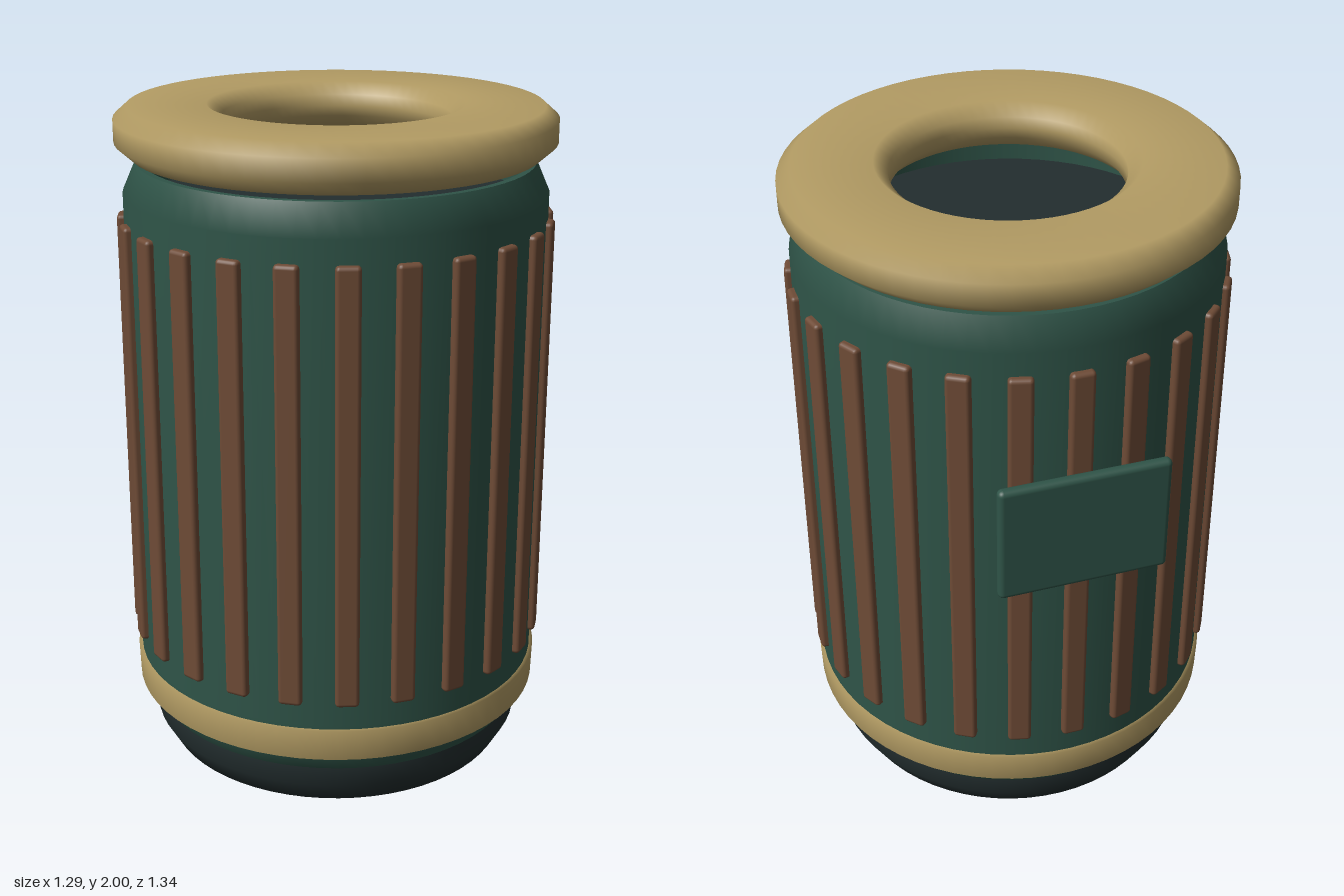
import * as THREE from 'three';
import { RoundedBoxGeometry } from 'three/addons/geometries/RoundedBoxGeometry.js';

const mat = (name, color) => {
  const m = new THREE.MeshStandardMaterial({ color });
  m.name = name;
  return m;
};

export function createModel() {
  const green = mat('green', 0x2f5448);
  const tan = mat('tan', 0xb39c64);
  const brown = mat('brown', 0x6e4b36);
  const dark = mat('dark', 0x232e2f);

  const model = new THREE.Group();
  model.name = 'litterBin';
  const bin = new THREE.Group();
  bin.name = 'bin';
  bin.position.z = 0.02;
  model.add(bin);

  const add = (name, geometry, material, parent = bin) => {
    const mesh = new THREE.Mesh(geometry, material);
    mesh.name = name;
    parent.add(mesh);
    return mesh;
  };
  // Turned part from [radius, height] pairs
  const turned = (name, points, material) =>
    add(name, new THREE.LatheGeometry(points.map(([r, y]) => new THREE.Vector2(r, y)), 64), material);

  // Base with chamfered foot
  turned('base', [[0, 0], [0.54, 0], [0.58, 0.07], [0.58, 0.13]], dark);

  // Barrel, with its inner lip and the recessed floor of the opening
  turned('body', [[0.58, 0.13], [0.622, 0.2], [0.625, 0.3], [0.625, 1.75], [0.585, 1.84]], green);
  turned('rim', [[0.585, 1.84], [0.565, 1.84]], green);
  turned('innerWall', [[0.565, 1.84], [0.565, 1.72]], green);
  turned('innerFloor', [[0.565, 1.72], [0, 1.72]], dark);

  // Lower band
  turned('lowerBand', [[0.615, 0.19], [0.633, 0.192], [0.636, 0.288], [0.615, 0.29]], tan);

  // Floating ring lid with softened edges
  turned('lidRing', [
    [0.335, 1.93], [0.335, 1.9], [0.375, 1.86], [0.6, 1.86], [0.645, 1.9],
    [0.645, 1.965], [0.605, 2], [0.375, 2], [0.335, 1.965], [0.335, 1.93],
  ], tan);

  // Vertical slats around the barrel
  const slats = new THREE.Group();
  slats.name = 'slats';
  bin.add(slats);
  const slat = new RoundedBoxGeometry(0.07, 1.31, 0.05, 2, 0.012);
  const count = 24;
  for (let i = 0; i < count; i++) {
    const a = (i / count) * Math.PI * 2;
    const mesh = add('slat', slat, brown, slats);
    mesh.position.set(Math.sin(a) * 0.62, 1.025, Math.cos(a) * 0.62);
    mesh.rotation.y = a;
  }

  // Plate on the back
  add('backPlate', new RoundedBoxGeometry(0.5, 0.37, 0.036, 3, 0.016), green, model)
    .position.set(0, 1.193, -0.652);

  return model;
}
